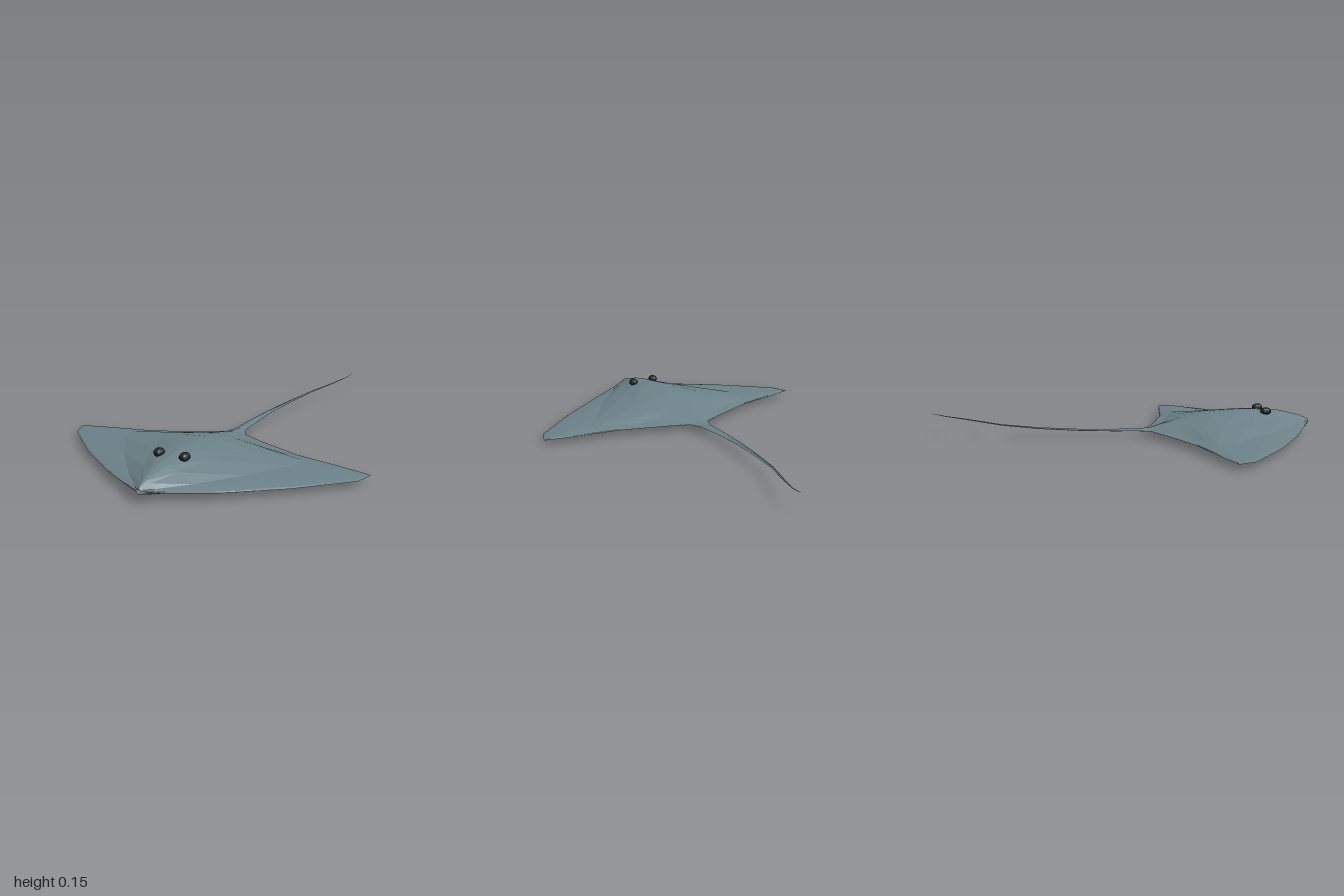
import * as THREE from 'three';

// Cross-sections from nose to tail tip: z, centre x, half width, top y, edge y, bottom y
const SECTIONS = [
  [1.0, 0, 0, 0.06, 0.06, 0.06],
  [1.0, 0, 0.014, 0.07, 0.06, 0.042],
  [0.95, 0, 0.09, 0.092, 0.048, 0.025],
  [0.83, 0, 0.28, 0.122, 0.036, 0.005],
  [0.65, 0, 0.525, 0.135, 0.032, 0],
  [0.44, 0, 0.755, 0.12, 0.03, 0],
  [0.35, 0, 0.785, 0.1, 0.03, 0.006],
  [0.32, 0, 0.66, 0.094, 0.031, 0.009],
  [0.27, 0, 0.41, 0.082, 0.033, 0.014],
  [0.18, 0, 0.18, 0.064, 0.036, 0.023],
  [0.12, 0, 0.055, 0.05, 0.038, 0.03],
  [0.06, 0, 0.03, 0.047, 0.039, 0.032],
  [-0.08, 0.003, 0.024, 0.048, 0.042, 0.036],
  [-0.25, 0.017, 0.017, 0.052, 0.047, 0.042],
  [-0.45, 0.054, 0.012, 0.06, 0.056, 0.051],
  [-0.64, 0.105, 0.008, 0.073, 0.07, 0.066],
  [-0.83, 0.186, 0.005, 0.095, 0.092, 0.089],
  [-0.93, 0.224, 0.003, 0.105, 0.103, 0.101],
  [-1.0, 0.243, 0.001, 0.117, 0.116, 0.115],
];

// Position across the half width, with the height of the back and belly there
const ACROSS = [0, 0.12, 0.3, 0.6, 0.97, 1];
const BACK = [1, 0.93, 0.67, 0.24, 0.06, 0];
const BELLY = [1, 0.94, 0.8, 0.45, 0.1, 0];

// Lofts one side of the skin through the sections
function skin(sections, heights, upper) {
  const columns = [];
  for (let k = ACROSS.length - 1; k > 0; k--) columns.push([-ACROSS[k], heights[k]]);
  ACROSS.forEach((t, k) => columns.push([t, heights[k]]));

  const positions = [], indices = [], n = columns.length;
  for (const [z, cx, w, top, edge, bottom] of sections) {
    for (const [t, h] of columns) {
      positions.push(cx + w * t, edge + ((upper ? top : bottom) - edge) * h, z);
    }
  }
  for (let i = 0; i < sections.length - 1; i++) {
    for (let j = 0; j < n - 1; j++) {
      const a = i * n + j, b = a + 1, c = a + n, d = c + 1;
      // Mirror the diagonals about the middle line
      const quad = j < (n - 1) / 2 ? [a, b, c, b, d, c] : [a, b, d, a, d, c];
      indices.push(...(upper ? quad : quad.reverse()));
    }
  }
  const geometry = new THREE.BufferGeometry();
  geometry.setAttribute('position', new THREE.Float32BufferAttribute(positions, 3));
  geometry.setIndex(indices);
  geometry.computeVertexNormals();
  return geometry;
}

function material(name, color) {
  const m = new THREE.MeshStandardMaterial({ color, flatShading: true });
  m.name = name;
  return m;
}

export function createModel() {
  const model = new THREE.Group();
  model.name = 'ray';
  const slate = material('slate blue skin', 0x6c8188);
  const pale = material('pale belly', 0xbab7b0);
  const dark = material('dark eye', 0x1e2828);

  const add = (name, geometry, mat) => {
    const mesh = new THREE.Mesh(geometry, mat);
    mesh.name = name;
    model.add(mesh);
    return mesh;
  };

  // Disc and tail share the section where they meet
  const root = 10;
  const disc = SECTIONS.slice(0, root + 1), tail = SECTIONS.slice(root);
  add('discBack', skin(disc, BACK, true), slate);
  add('discBelly', skin(disc, BELLY, false), pale);
  add('tailTop', skin(tail, BACK, true), slate);
  add('tailUnderside', skin(tail, BELLY, false), pale);

  // Eyes
  for (const side of [1, -1]) {
    const eye = add(side > 0 ? 'leftEye' : 'rightEye', new THREE.SphereGeometry(1, 10, 8), dark);
    eye.scale.set(0.024, 0.02, 0.029);
    eye.position.set(side * 0.065, 0.129, 0.735);
  }
  return model;
}
